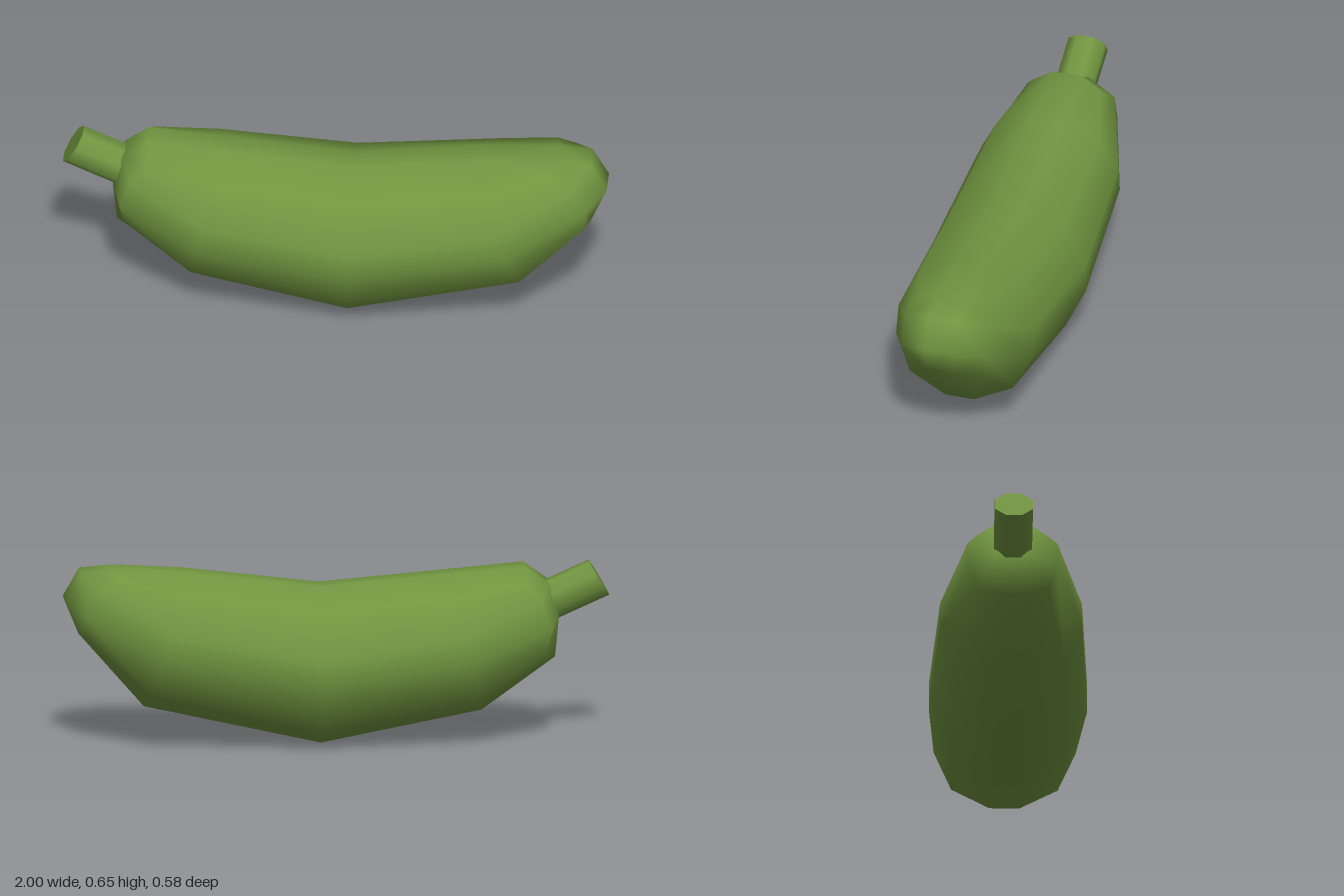
import * as THREE from 'three';

const green = new THREE.MeshStandardMaterial({ color: 0x719540 });
green.name = 'leaf green';

const EDGE = 0.055; // half width of the narrow facets

// Twelve-sided section between a bottom and a top point in the xy plane.
// side: half width; cu, cz: corner height (fraction) and half width;
// cBack, sFwd: shift of corners and sides along the body.
function section({ bottom: [bx, by], top: [tx, ty], side, cu, cz, cBack = 0, sFwd = 0 }) {
  const cx = (bx + tx) / 2, cy = (by + ty) / 2;
  const h = Math.hypot(tx - bx, ty - by) / 2;
  const ux = (tx - bx) / 2 / h, uy = (ty - by) / 2 / h;
  const p = (u, z, a) => [cx + ux * u + uy * a, cy + uy * u - ux * a, z];
  const k = cu * h;
  return [
    p(h, -EDGE, 0), p(h, EDGE, 0), p(k, cz, cBack),
    p(EDGE, side, sFwd), p(-EDGE, side, sFwd), p(-k, cz, cBack),
    p(-h, EDGE, 0), p(-h, -EDGE, 0), p(-k, -cz, cBack),
    p(-EDGE, -side, sFwd), p(EDGE, -side, sFwd), p(k, -cz, cBack),
  ];
}

// Four inner points of a rounded end
const tip = ([bx, by], [tx, ty]) =>
  [[tx, ty, -EDGE], [tx, ty, EDGE], [bx, by, EDGE], [bx, by, -EDGE]];

function bodyGeometry() {
  const rings = [
    { bottom: [-0.80, 0.31], top: [-0.69, 0.645], side: 0.165, cu: 0.75, cz: 0.13, cBack: 0.02, sFwd: -0.02 },
    { bottom: [-0.53, 0.115], top: [-0.43, 0.622], side: 0.26, cu: 0.74, cz: 0.195 },
    { bottom: [0.06, 0], top: [0.06, 0.58], side: 0.29, cu: 0.76, cz: 0.215 },
    { bottom: [0.71, 0.145], top: [0.56, 0.64], side: 0.26, cu: 0.74, cz: 0.195 },
    { bottom: [0.95, 0.42], top: [0.82, 0.655], side: 0.16, cu: 0.95, cz: 0.13, cBack: -0.023, sFwd: 0.02 },
  ].map(section);
  const points = [
    ...rings.flat(),
    ...tip([-0.815, 0.46], [-0.78, 0.58]),
    ...tip([1.0, 0.54], [0.94, 0.645]),
  ];
  const index = [];
  const quad = (a, b, c, d) => index.push(a, b, c, a, c, d);

  // skin between sections
  for (let i = 0; i < rings.length - 1; i++)
    for (let j = 0; j < 12; j++) {
      const n = (j + 1) % 12, r = i * 12, s = r + 12;
      quad(r + j, r + n, s + n, s + j);
    }

  // ends as three by three patches
  const cap = (ring, inner, flip) => {
    const q = (a, b, c, d) => (flip ? quad(d, c, b, a) : quad(a, b, c, d));
    const R = (j) => ring + (j % 12), I = (j) => inner + (j % 4);
    for (let s = 0; s < 4; s++) {
      const k = 2 + 3 * s;
      q(R(k - 1), R(k), R(k + 1), I(s + 1));
      q(R(k + 1), R(k + 2), I(s + 2), I(s + 1));
    }
    q(I(0), I(1), I(2), I(3));
  };
  const n = rings.length * 12;
  cap(0, n, true);
  cap(n - 12, n + 4, false);

  const g = new THREE.BufferGeometry();
  g.setAttribute('position', new THREE.Float32BufferAttribute(points.flat(), 3));
  g.setIndex(index);
  g.computeVertexNormals();
  return g;
}

// Eight-sided stem with a slightly slanted cut end
function stemGeometry() {
  const length = 0.24;
  const g = new THREE.CylinderGeometry(0.0757, 0.0757, length, 8);
  g.rotateY(Math.PI / 8);
  const pos = g.attributes.position;
  for (let i = 0; i < pos.count; i++)
    if (pos.getY(i) > 0) pos.setY(i, pos.getY(i) - 0.12 * pos.getX(i));
  g.translate(0, -length / 2, 0);
  g.rotateZ(1.15);
  g.translate(-0.965, 0.593, 0);
  return g;
}

export function createModel() {
  const model = new THREE.Group();
  model.name = 'fruit';
  const add = (name, geometry) => {
    const mesh = new THREE.Mesh(geometry, green);
    mesh.name = name;
    model.add(mesh);
  };
  add('body', bodyGeometry());
  add('stem', stemGeometry());
  return model;
}
